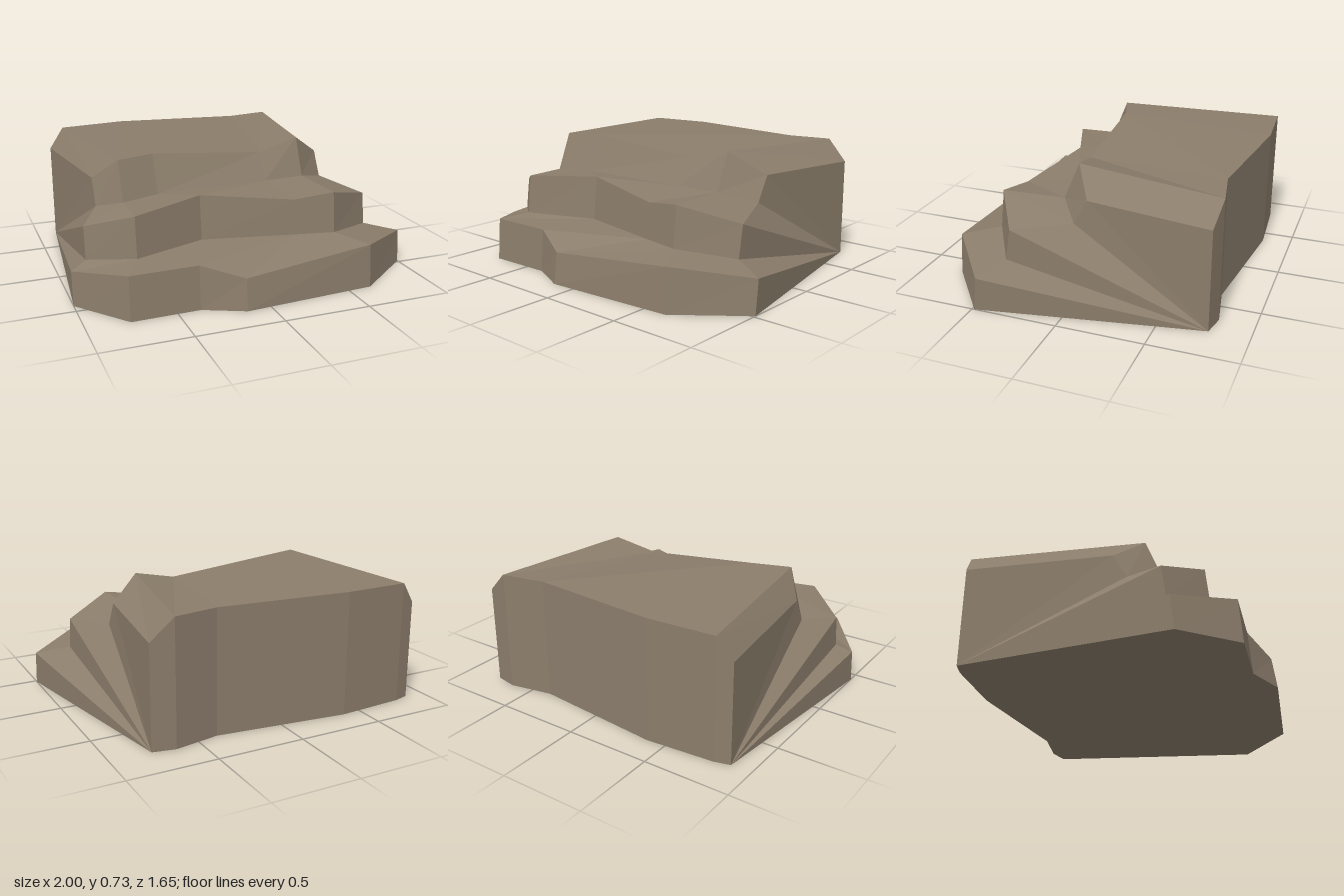
import * as THREE from 'three';

// Cross-section lines from the front foot, up over the ledges, to the back foot.
const rows = [
  [[-1, 0, .43], [-.76, 0, .73], [-.37, 0, .72], [-.14, 0, .825], [.64, 0, .77], [1, 0, .485]],
  [[-1, .195, .41], [-.76, .25, .71], [-.37, .25, .7], [-.14, .18, .8], [.64, .25, .75], [1, .195, .465]],
  [[-.91, .235, .37], [-.67, .275, .555], [-.25, .275, .4], [.28, .275, .51], [.51, .275, .555], [.81, .235, .375]],
  [[-.91, .42, .345], [-.67, .505, .53], [-.25, .53, .37], [.28, .48, .49], [.51, .51, .53], [.81, .42, .345]],
  [[-.79, .455, .13], [-.67, .51, .29], [-.45, .515, .22], [.23, .515, .19], [.49, .51, .155], [.68, .455, .02]],
  [[-.79, .6, .05], [-.67, .73, .2], [-.45, .73, .13], [.23, .67, .1], [.49, .73, .06], [.68, .6, -.06]],
  [[-.88, .585, -.775], [-.79, .71, -.8], [-.39, .715, -.83], [.38, .71, -.75], [.64, .71, -.8], [.77, .585, -.775]],
];
rows.push(rows[6].map(([x, , z]) => [x, 0, z]));

function makeMesh(name, triangles, material) {
  const geometry = new THREE.BufferGeometry();
  geometry.setAttribute('position', new THREE.Float32BufferAttribute(triangles.flat(2), 3));
  geometry.computeVertexNormals();
  const mesh = new THREE.Mesh(geometry, material);
  mesh.name = name;
  return mesh;
}

// Faces between two neighbouring cross-section lines
function strip(r) {
  const triangles = [];
  for (let i = 0; i < 5; i++) {
    const a = rows[r][i], b = rows[r][i + 1], c = rows[r + 1][i + 1], d = rows[r + 1][i];
    triangles.push([a, b, c], [a, c, d]);
  }
  return triangles;
}

// Side faces fanning out from a back foot corner
function sideFan(column) {
  const corner = rows[7][column];
  const triangles = [];
  for (let r = 0; r < 6; r++) {
    const a = rows[r][column], b = rows[r + 1][column];
    triangles.push(column ? [corner, b, a] : [corner, a, b]);
  }
  return triangles;
}

// Flat underside
function underside() {
  const outline = [...rows[0], ...[...rows[7]].reverse()];
  const flat = outline.map(([x, , z]) => new THREE.Vector2(x, -z));
  return THREE.ShapeUtils.triangulateShape(flat, [])
    .map(([a, b, c]) => [outline[a], outline[c], outline[b]]);
}

export function createModel() {
  const group = new THREE.Group();
  group.name = 'steppedRock';
  const stone = new THREE.MeshStandardMaterial({ color: 0x8b7d6b });
  stone.name = 'brown stone';
  stone.flatShading = true;

  const names = ['lowerRiser', 'lowerLedge', 'middleRiser', 'middleLedge', 'upperRiser', 'topSurface', 'backWall'];
  names.forEach((name, r) => group.add(makeMesh(name, strip(r), stone)));
  group.add(makeMesh('rightSide', sideFan(0), stone));
  group.add(makeMesh('leftSide', sideFan(5), stone));
  group.add(makeMesh('underside', underside(), stone));
  return group;
}
